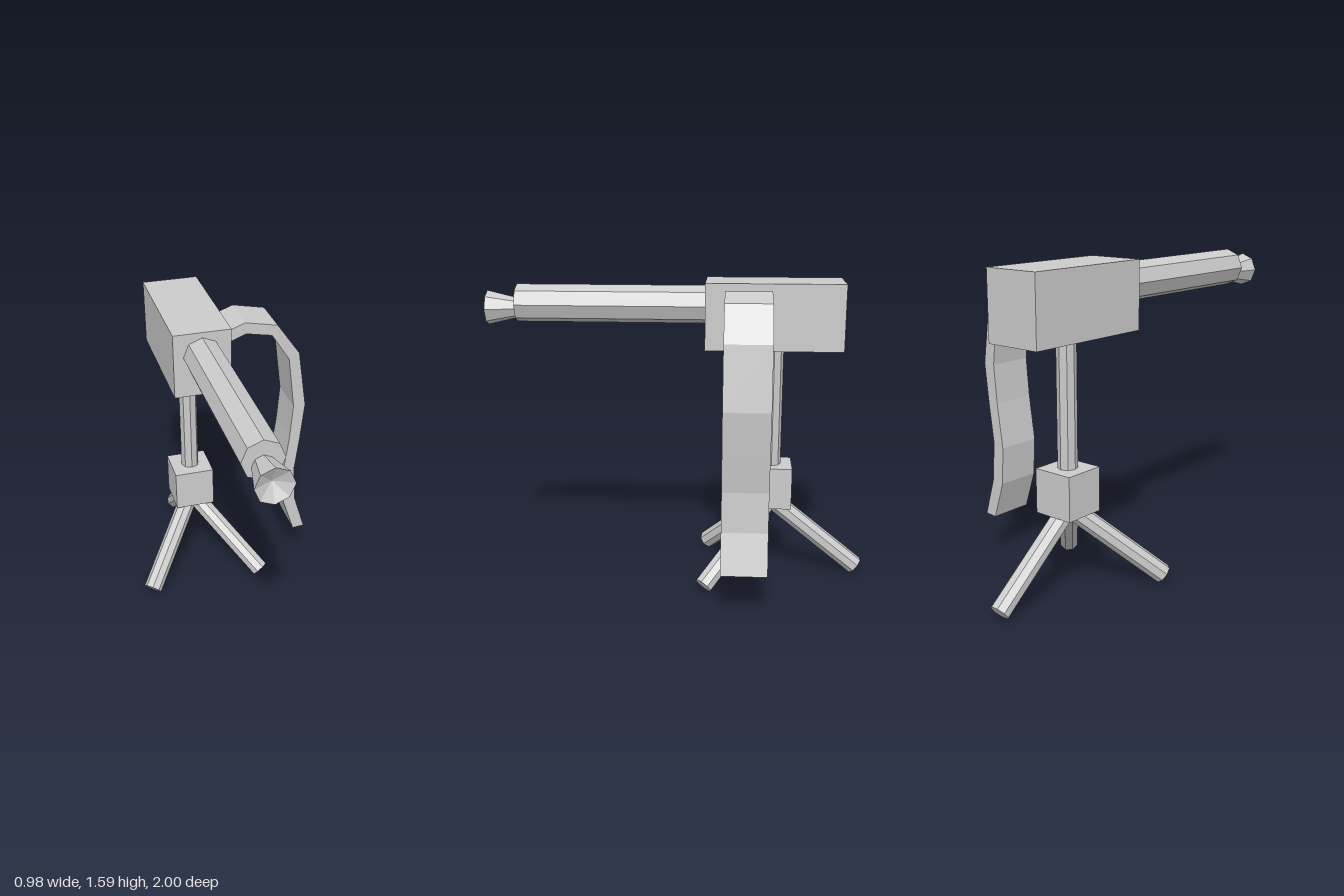
import * as THREE from 'three';

const material = new THREE.MeshStandardMaterial({ color: 0xcccccc, flatShading: true });
const CX = -0.13; // centre line of the gun and stand

function add(group, name, geometry, x = 0, y = 0, z = 0) {
  const mesh = new THREE.Mesh(geometry, material);
  mesh.name = name;
  mesh.position.set(x, y, z);
  group.add(mesh);
  return mesh;
}

// Eight-sided rod running from one point to another
function rod(group, name, from, to, radius, turn = 0) {
  const axis = to.clone().sub(from);
  const geometry = new THREE.CylinderGeometry(radius, radius, axis.length(), 8, 1, false, turn);
  const mesh = add(group, name, geometry);
  mesh.position.copy(from).add(to).multiplyScalar(0.5);
  // Yaw first, then tilt, so the facets stay level
  const yaw = Math.atan2(axis.x, axis.z);
  const tilt = Math.atan2(Math.hypot(axis.x, axis.z), axis.y);
  mesh.rotation.set(tilt, yaw, 0, 'YXZ');
}

export function createModel() {
  const model = new THREE.Group();
  model.name = 'mountedGun';
  const v = (x, y, z) => new THREE.Vector3(x, y, z);

  // Receiver and barrel
  add(model, 'receiver', new THREE.BoxGeometry(0.297, 0.34, 0.703), CX, 1.433, -0.494);
  rod(model, 'barrel', v(CX, 1.478, -0.16), v(CX, 1.478, 0.843), 0.098);

  // Flared muzzle with a hollow mouth
  const flare = [[0, 0], [0.049, 0], [0.089, 0.17], [0, 0.125]].map(([r, h]) => new THREE.Vector2(r, h));
  const muzzle = add(model, 'muzzle', new THREE.LatheGeometry(flare, 8), CX, 1.452, 0.83);
  muzzle.rotation.x = Math.PI / 2;

  // Post and tripod hub
  rod(model, 'post', v(CX, 0.6, -0.5), v(CX, 1.3, -0.5), 0.049);
  add(model, 'tripodHub', new THREE.BoxGeometry(0.216, 0.224, 0.216), CX, 0.515, -0.5);

  // Tripod legs: two forward, one back
  const feet = { leftLeg: [0.32, 0.348], rightLeg: [-0.32, 0.348], backLeg: [0, -0.473] };
  for (const [name, [dx, dz]] of Object.entries(feet)) {
    rod(model, name, v(CX, 0.428, -0.5), v(CX + dx, 0.046, -0.5 + dz), 0.05, Math.PI / 8);
  }

  // Ammunition belt hanging from the left side
  const outer = [[0, 1.535], [0.12, 1.578], [0.292, 1.543], [0.415, 1.37], [0.46, 1.055],
    [0.437, 0.843], [0.411, 0.643], [0.424, 0.44], [0.485, 0.236]];
  const inner = [[0, 1.468], [0.123, 1.517], [0.263, 1.49], [0.36, 1.34], [0.394, 1.055],
    [0.377, 0.855], [0.345, 0.622], [0.356, 0.427], [0.419, 0.231]];
  const outline = [...outer, ...inner.reverse()].map(([x, y]) => new THREE.Vector2(x, y));
  const belt = new THREE.ExtrudeGeometry(new THREE.Shape(outline), { depth: 0.232, bevelEnabled: false });
  add(model, 'ammoBelt', belt, 0, 0, -0.476);

  return model;
}
